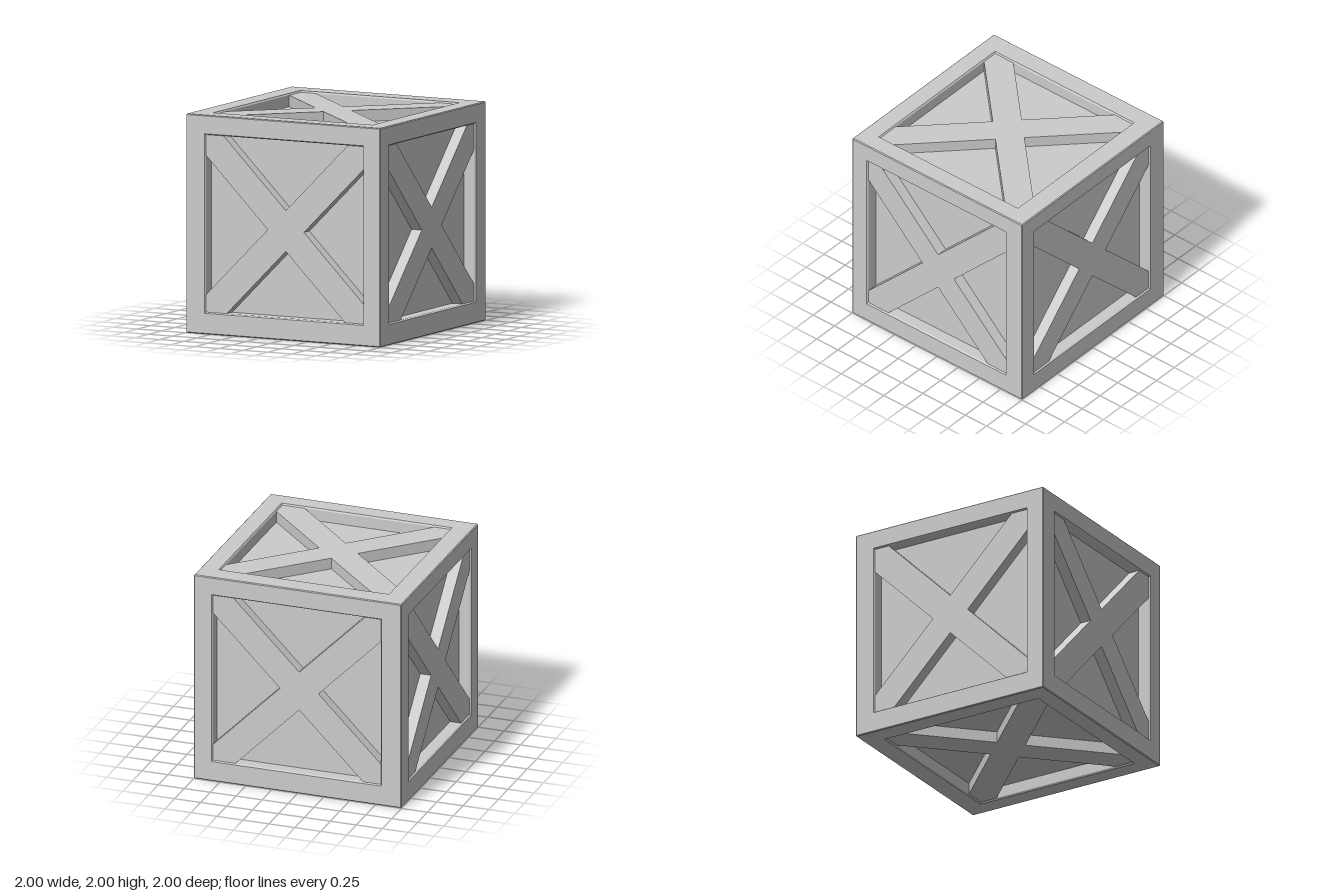
import * as THREE from 'three';

const CHAMFER = 0.008; // outer edge chamfer
const RECESS = 0.015;  // depth of the brace faces
const FLOOR = 0.12;    // depth of the panels
const OPEN = 0.82;     // half size of the opening at the surface
const INNER = 0.81;    // half size of the opening below its chamfer
const SHIFT = 0.01;    // the openings sit slightly off centre

// Outward direction pairs (u right, v up) and brace centre for each side
const SIDES = [
  { name: 'front', u: [1, 0, 0], v: [0, 1, 0], brace: [0.02, -0.005] },
  { name: 'back', u: [-1, 0, 0], v: [0, 1, 0], brace: [0.01, 0] },
  { name: 'right', u: [0, 0, -1], v: [0, 1, 0], brace: [0, -0.03] },
  { name: 'left', u: [0, 0, 1], v: [0, 1, 0], brace: [0, -0.02] },
  { name: 'top', u: [1, 0, 0], v: [0, 0, -1], brace: [-0.02, -0.01] },
  { name: 'bottom', u: [1, 0, 0], v: [0, 0, 1], brace: [0, 0] },
];

// Square ring surface lofted through concentric loops of four corners
function ringGeometry(loops) {
  const corners = [[-1, -1], [1, -1], [1, 1], [-1, 1]];
  const at = ({ half, z, cx = 0, cy = 0 }, i) => {
    const [sx, sy] = corners[i % 4];
    return [cx + sx * half, cy + sy * half, z];
  };
  const pos = [];
  for (let k = 0; k < loops.length - 1; k++) {
    for (let i = 0; i < 4; i++) {
      const a = at(loops[k], i), b = at(loops[k], i + 1);
      const c = at(loops[k + 1], i + 1), d = at(loops[k + 1], i);
      pos.push(...a, ...b, ...c, ...a, ...c, ...d);
    }
  }
  const geo = new THREE.BufferGeometry();
  geo.setAttribute('position', new THREE.Float32BufferAttribute(pos, 3));
  geo.computeVertexNormals();
  return geo;
}

// Diagonal cross clipped to the opening: four 45 degree notches cut from a square
function crossGeometry(cx, cy, ox, oy, h) {
  const L = ox - INNER, R = ox + INNER, B = oy - INNER, T = oy + INNER;
  const t = T - cy - h, l = cx - h - L, b = cy - h - B, r = R - cx - h;
  const points = [
    [R, T], [cx + t, T], [cx, cy + h], [cx - t, T],
    [L, T], [L, cy + l], [cx - h, cy], [L, cy - l],
    [L, B], [cx - b, B], [cx, cy - h], [cx + b, B],
    [R, B], [R, cy - r], [cx + h, cy], [R, cy + r],
  ].map(([x, y]) => new THREE.Vector2(x, y));
  return new THREE.ExtrudeGeometry(new THREE.Shape(points), {
    depth: FLOOR - RECESS, bevelEnabled: false,
  });
}

export function createModel() {
  const crate = new THREE.Group();
  crate.name = 'crate';
  const material = new THREE.MeshStandardMaterial({ color: 0xcccccc, flatShading: true });

  for (const { name, u, v, brace } of SIDES) {
    const U = new THREE.Vector3(...u), V = new THREE.Vector3(...v);
    const N = U.clone().cross(V);
    const side = new THREE.Group();
    side.name = `${name}Side`;
    side.quaternion.setFromRotationMatrix(new THREE.Matrix4().makeBasis(U, V, N));
    side.position.y = 1;

    const cx = SHIFT * (U.x + U.y + U.z), cy = SHIFT * (V.x + V.y + V.z);
    const add = (part, geometry) => {
      const mesh = new THREE.Mesh(geometry, material);
      mesh.name = part;
      side.add(mesh);
      return mesh;
    };

    // Frame border with chamfered edges and the walls of the recess
    add('frame', ringGeometry([
      { half: 1 - CHAMFER / 2, z: 1 - CHAMFER / 2 },
      { half: 1 - CHAMFER, z: 1 },
      { half: OPEN, z: 1, cx, cy },
      { half: INNER, z: 1 - RECESS, cx, cy },
      { half: INNER, z: 1 - FLOOR, cx, cy },
    ]));

    // Sunken panel
    add('panel', new THREE.PlaneGeometry(2 * INNER, 2 * INNER)).position.set(cx, cy, 1 - FLOOR);

    // Crossed braces
    add('crossBrace', crossGeometry(brace[0], brace[1], cx, cy, 0.186)).position.z = 1 - FLOOR;

    crate.add(side);
  }
  return crate;
}
